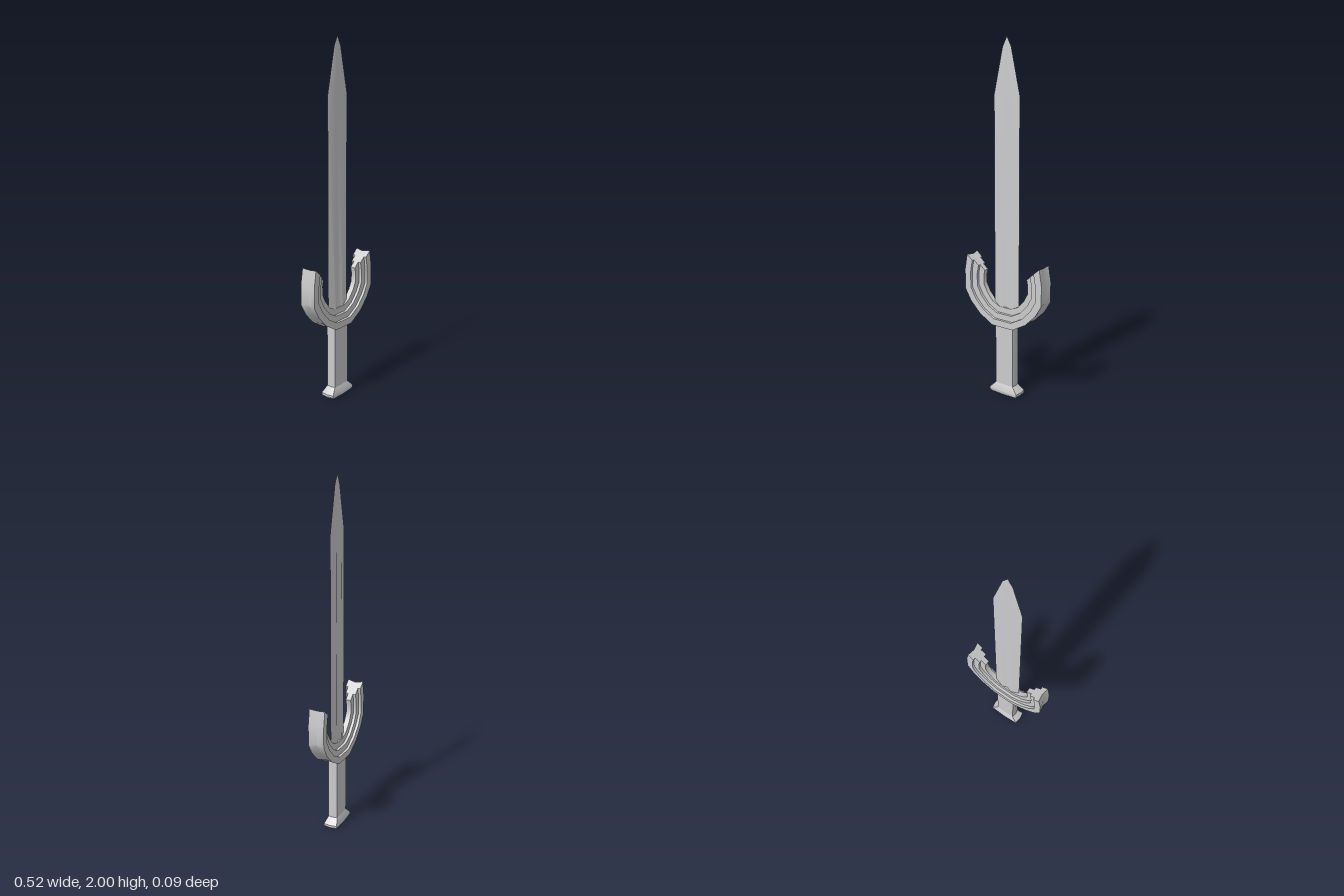
import * as THREE from 'three';
import { toCreasedNormals } from 'three/addons/utils/BufferGeometryUtils.js';

const material = new THREE.MeshStandardMaterial({ color: 0xcccccc });

// Skins a row of matching closed loops and caps both ends.
// outline is the flat 2D section, used to triangulate the caps.
function loft(name, loops, outline) {
  const n = outline.length;
  const tris = [];
  for (let i = 0; i < loops.length - 1; i++) {
    const a = loops[i], b = loops[i + 1];
    for (let j = 0; j < n; j++) {
      const k = (j + 1) % n;
      tris.push([a[j], a[k], b[k]], [a[j], b[k], b[j]]);
    }
  }
  const flat = outline.map(([u, v]) => new THREE.Vector2(u, v));
  const ccw = !THREE.ShapeUtils.isClockWise(flat);
  const first = loops[0], last = loops[loops.length - 1];
  for (const face of THREE.ShapeUtils.triangulateShape(flat, [])) {
    const [p, q, r] = face;
    // match the winding of the side walls whichever way the outline runs
    const same = (flat[q].clone().sub(flat[p]).cross(flat[r].clone().sub(flat[p])) > 0) === ccw;
    const [s, t] = same ? [q, r] : [r, q];
    tris.push([first[p], first[t], first[s]], [last[p], last[s], last[t]]);
  }
  // drop collapsed triangles, then turn everything outward by signed volume
  const solid = tris.filter(([a, b, c]) =>
    b.clone().sub(a).cross(c.clone().sub(a)).length() > 1e-9);
  const volume = solid.reduce((sum, [a, b, c]) => sum + a.dot(b.clone().cross(c)), 0);
  const points = solid.flatMap(([a, b, c]) => (volume < 0 ? [a, c, b] : [a, b, c]));
  const geometry = new THREE.BufferGeometry().setFromPoints(points);
  const mesh = new THREE.Mesh(toCreasedNormals(geometry, 0.6), material);
  mesh.name = name;
  return mesh;
}

// Upright loft: each level is [y, half width, half depth] scaling the section
function uprightLoft(name, section, levels) {
  const loops = levels.map(([y, w, d]) =>
    section.map(([u, v]) => new THREE.Vector3(u * w, y, v * d)));
  return loft(name, loops, section);
}

// Blade: two diamonds side by side, leaving a shallow groove down the middle
function blade() {
  const section = [[1, 0], [0.36, 1], [0, 0.2], [-0.36, 1],
    [-1, 0], [-0.36, -1], [0, -0.2], [0.36, -1]];
  return uprightLoft('blade', section, [
    [0.47, 0.083, 0.014], [1.7, 0.083, 0.008], [1.945, 0.028, 0.003], [2, 0, 0],
  ]);
}

// Guard: stepped section swept around a faceted horseshoe
function guard() {
  // [fraction from outer to inner edge, z]
  const side = [[0, 0.046], [0.36, 0.046], [0.36, 0.031], [0.68, 0.031], [0.68, 0.015], [1, 0.015]];
  const section = [[0.08, 0], ...side, ...side.map(([t, z]) => [t, -z]).reverse()];
  // [outer x, outer y, inner x, inner y] from tip to bottom of one arm
  const arm = [
    [0.245, 0.8, 0.143, 0.715], [0.26, 0.71, 0.15, 0.685], [0.26, 0.595, 0.15, 0.635],
    [0.222, 0.53, 0.127, 0.59], [0.157, 0.465, 0.088, 0.545], [0.07, 0.415, 0.04, 0.522],
  ];
  const stations = [...arm, ...arm.map(([a, b, c, d]) => [-a, b, -c, d]).reverse()];
  const loops = stations.map(([ox, oy, ix, iy]) => section.map(([t, z]) =>
    new THREE.Vector3(ox + (ix - ox) * t, oy + (iy - oy) * t, z)));
  return loft('guard', loops, section);
}

export function createModel() {
  const group = new THREE.Group();
  group.name = 'sword';
  // Flattened eight-sided section shared by grip and pommel
  const handle = [[1, 0], [0.93, 0.9], [0, 1], [-0.93, 0.9],
    [-1, 0], [-0.93, -0.9], [0, -1], [0.93, -0.9]];
  group.add(
    blade(),
    guard(),
    uprightLoft('grip', handle, [[0.05, 0.063, 0.03], [0.46, 0.063, 0.03]]),
    uprightLoft('pommel', handle, [
      [0, 0.09, 0.037], [0.012, 0.1, 0.045], [0.025, 0.1, 0.045], [0.06, 0.063, 0.03],
    ]),
  );
  return group;
}
